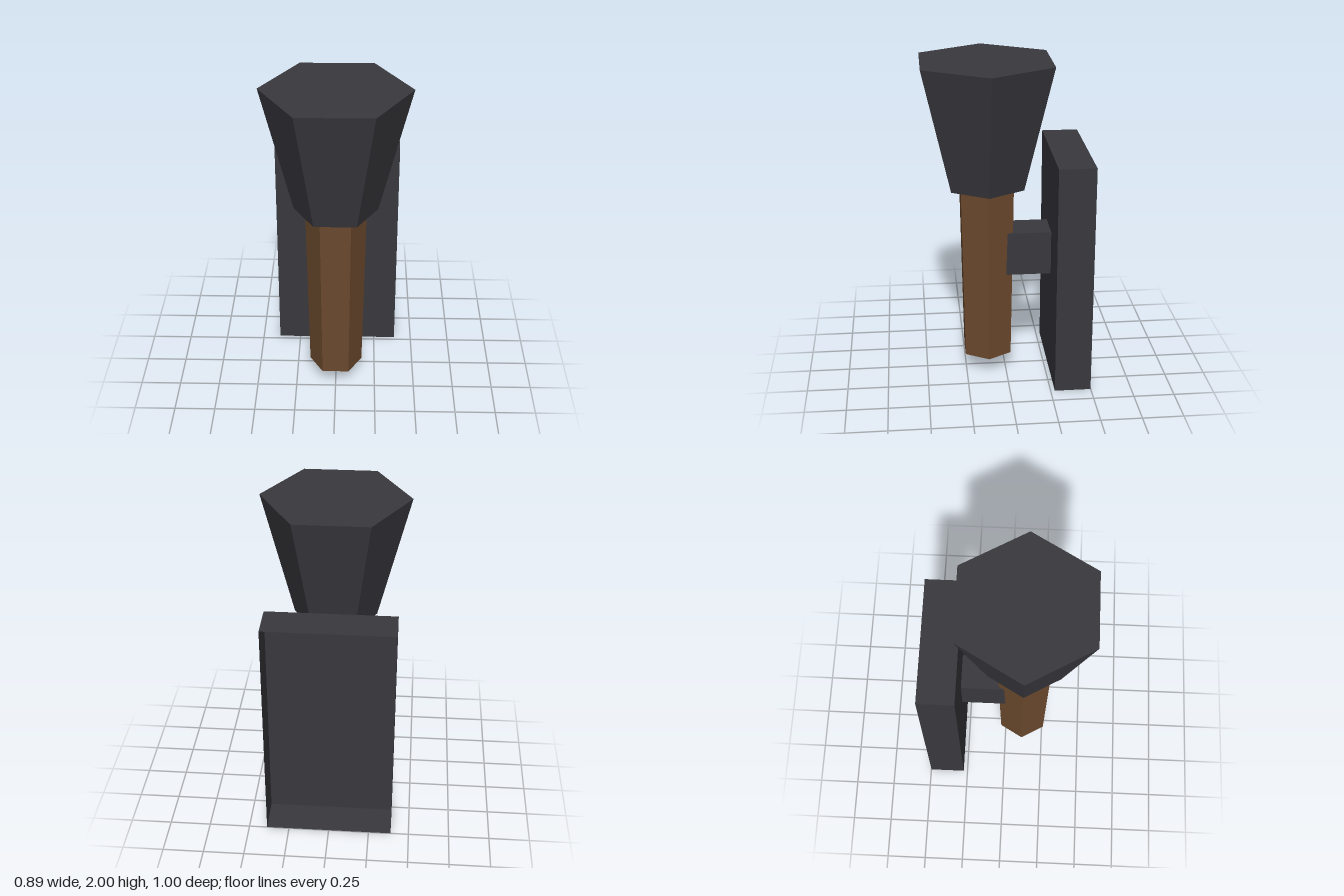
import * as THREE from 'three';

export function createModel() {
  const model = new THREE.Group();
  const iron = new THREE.MeshStandardMaterial({ color: 0x39383e, flatShading: true, side: THREE.DoubleSide });
  iron.name = 'dark iron';
  const wood = new THREE.MeshStandardMaterial({ color: 0x6b492d, flatShading: true, side: THREE.DoubleSide });
  wood.name = 'brown wood';

  const add = (name, geometry, material, x, y, z) => {
    const mesh = new THREE.Mesh(geometry, material);
    mesh.name = name;
    mesh.position.set(x, y, z);
    model.add(mesh);
  };

  // Six-sided tapered prism with corners pointing to the sides
  const torchZ = 0.113;
  const hexPrism = (name, rTop, rBottom, y0, y1, open, material) =>
    add(name, new THREE.CylinderGeometry(rTop, rBottom, y1 - y0, 6, 1, open, Math.PI / 2),
      material, 0, (y0 + y1) / 2, torchZ);

  // Torch: flared iron head over a hollow wooden handle
  hexPrism('torchHead', 0.445, 0.253, 1.23, 2, false, iron);
  hexPrism('torchHandle', 0.185, 0.165, 0.117, 1.23, true, wood);

  // Bracket joining the handle to the wall plate
  add('bracket', new THREE.BoxGeometry(0.22, 0.274, 0.276), iron, 0, 0.809, -0.138);

  // Wall plate: a shallow tray, open at the back (last box face dropped)
  const plate = new THREE.BoxGeometry(0.777, 1.445, 0.223);
  plate.setIndex(Array.from(plate.index.array).slice(0, 30));
  plate.clearGroups();
  add('wallPlate', plate, iron, 0, 0.7225, -0.3875);

  return model;
}
